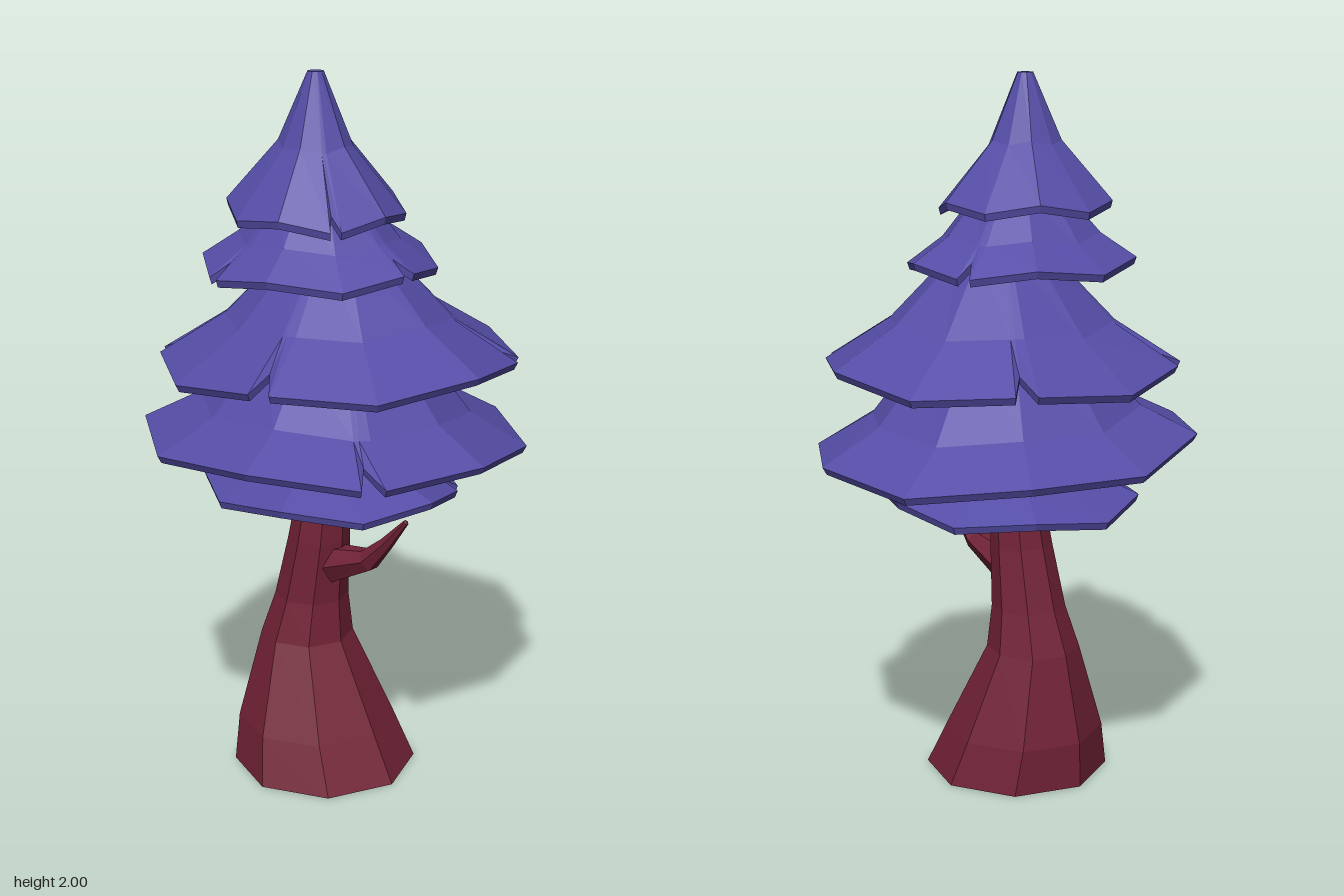
import * as THREE from 'three';

const V = (x, y, z) => new THREE.Vector3(x, y, z);
const foliage = new THREE.MeshStandardMaterial({ color: 0x554da6 });
const bark = new THREE.MeshStandardMaterial({ color: 0x722236 });
foliage.name = 'violet foliage';
bark.name = 'dark red bark';

// Skin a list of rings with faceted faces (rings run from top to bottom)
function loft(rings) {
  const pos = [];
  const tri = (a, b, c) => {
    const area = b.clone().sub(a).cross(c.clone().sub(a)).length();
    if (area > 1e-8) for (const p of [a, b, c]) pos.push(p.x, p.y, p.z);
  };
  for (let i = 0; i < rings.length - 1; i++) {
    const up = rings[i], low = rings[i + 1], n = up.length;
    for (let j = 0; j < n; j++) {
      const k = (j + 1) % n;
      tri(up[j], up[k], low[j]);
      tri(up[k], low[k], low[j]);
    }
  }
  const g = new THREE.BufferGeometry();
  g.setAttribute('position', new THREE.Float32BufferAttribute(pos, 3));
  g.computeVertexNormals();
  return g;
}

// Regular ring around an axis lying in the YZ plane
function ring(c, r, n, axis = V(0, 1, 0)) {
  const side = V(1, 0, 0).cross(axis).normalize();
  return Array.from({ length: n }, (_, i) => {
    const a = (i / n) * Math.PI * 2;
    return c.clone().add(V(r * Math.cos(a), 0, 0)).addScaledVector(side, r * Math.sin(a));
  });
}

// Ten-sided slanted zigzag rim; a split corner becomes two points with a nick between
function makeRim({ cx, cz, rx, rz, y, slopeX, slopeZ, splits }, pull, lift) {
  const points = [];
  for (let i = 0; i < 10; i++) {
    const zigzag = i % 2 ? -0.012 : 0.012;
    const put = (turn, s, rise) => {
      const a = 0.3 + (i * Math.PI) / 5 + turn;
      const x = cx + s * rx * Math.cos(a), z = cz + s * rz * Math.sin(a);
      points.push(V(x, y + slopeX * x + slopeZ * z + zigzag + rise, z));
    };
    if (splits.includes(i)) {
      put(-0.06, 1, 0);
      put(0.02, pull, lift);
      put(0.06, 1, 0);
    } else put(0, 1, 0);
  }
  return points;
}

// Hollow skirt: narrow top, bent middle, ragged rim, thin edge and underside
function skirt(tier) {
  const { cx, cz, topY, topR, bend: [br, by], capped } = tier;
  const outer = makeRim(tier, 0.83, 0.035);
  const whole = makeRim(tier, 1, 0);
  const top = whole.map((p) => {
    const a = Math.atan2(p.z - cz, p.x - cx);
    return V(cx + topR * Math.cos(a), topY, cz + topR * Math.sin(a));
  });
  const mid = whole.map((p, i) => top[i].clone().lerp(p, br).setY(THREE.MathUtils.lerp(topY, p.y, by)));
  const inset = (pts, s, drop) => pts.map((p) => V(cx + (p.x - cx) * s, p.y - drop, cz + (p.z - cz) * s));
  const inner = inset(top, 0.9, 0.02);
  const start = capped ? top.map(() => V(cx, topY, cz)) : inner;
  return loft([start, top, mid, outer, inset(outer, 0.98, 0.02), inset(mid, 0.95, 0.02), inner]);
}

const tiers = [
  { name: 'crownTip', cx: -0.075, cz: 0, rx: 0.24, rz: 0.245, y: 1.643, slopeX: 0.03, slopeZ: -0.04,
    splits: [3], topY: 2, topR: 0.022, bend: [0.36, 0.53], capped: true },
  { name: 'upperTier', cx: -0.06, cz: 0, rx: 0.33, rz: 0.315, y: 1.488, slopeX: 0, slopeZ: -0.01,
    splits: [2, 5, 9], topY: 1.68, topR: 0.12, bend: [0.5, 0.63] },
  { name: 'middleTier', cx: 0, cz: 0.015, rx: 0.505, rz: 0.49, y: 1.212, slopeX: -0.01, slopeZ: 0.03,
    splits: [1, 4, 6, 8], topY: 1.52, topR: 0.13, bend: [0.5, 0.62] },
  { name: 'wideTier', cx: 0, cz: 0, rx: 0.555, rz: 0.527, y: 0.988, slopeX: -0.06, slopeZ: 0,
    splits: [3], topY: 1.26, topR: 0.22, bend: [0.5, 0.68] },
  { name: 'lowestTier', cx: 0, cz: -0.02, rx: 0.345, rz: 0.375, y: 0.84, slopeX: -0.015, slopeZ: 0.015,
    splits: [1], topY: 1.01, topR: 0.145, bend: [0.42, 0.67] },
];

export function createModel() {
  const model = new THREE.Group();
  model.name = 'tree';
  const add = (name, geometry, material) => {
    const mesh = new THREE.Mesh(geometry, material);
    mesh.name = name;
    model.add(mesh);
  };

  // Leaning trunk, flared at the root: x, height, depth position, radius
  const trunk = [
    [-0.06, 1.72, 0, 0], [-0.06, 1.72, 0, 0.02], [-0.04, 1.4, 0.015, 0.035], [-0.022, 1.12, 0.025, 0.06],
    [-0.036, 0.82, -0.01, 0.075], [-0.042, 0.68, -0.022, 0.088], [-0.044, 0.5, -0.05, 0.105],
    [-0.05, 0.38, -0.063, 0.132], [-0.055, 0.13, -0.022, 0.225], [-0.057, 0, 0.012, 0.261], [-0.057, 0, 0.012, 0],
  ].map(([x, y, z, r]) => ring(V(x, y, z), r, 8));
  add('trunk', loft(trunk), bark);

  // Bare branch curving up at the front, from tip to root: height, depth position, radius, rise
  const branch = [
    [0.802, 0.303, 0, 1], [0.8, 0.3, 0.008, 1], [0.72, 0.23, 0.02, 1],
    [0.655, 0.165, 0.034, 0.65], [0.605, 0.02, 0.06, 0.25],
  ].map(([y, z, r, rise]) => ring(V(-0.04, y, z), r, 6, V(0, rise, 1)));
  add('branch', loft(branch), bark);

  // Foliage skirts
  for (const tier of tiers) add(tier.name, skirt(tier), foliage);
  return model;
}
